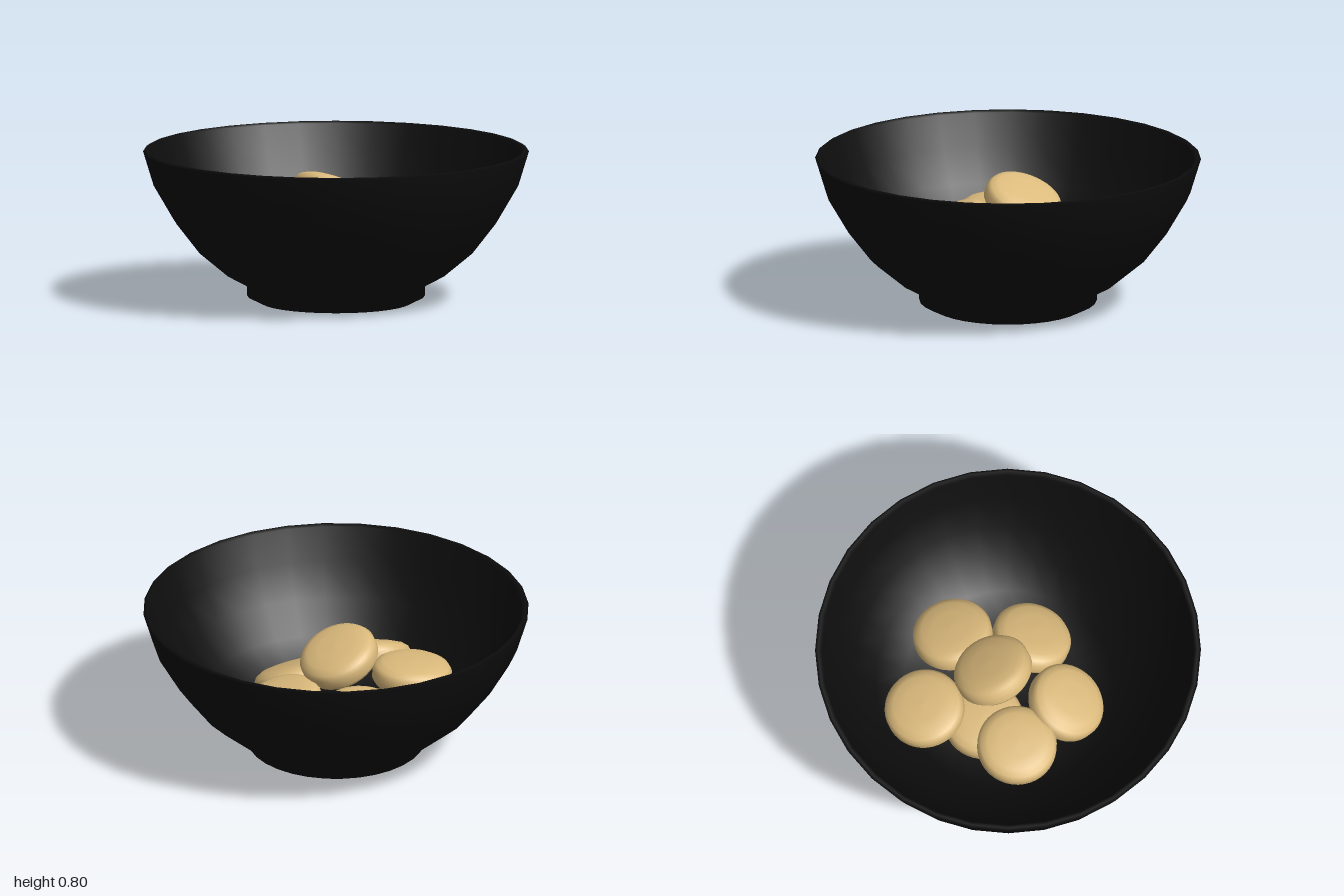
import * as THREE from 'three';

const lathe = (points, segments) =>
  new THREE.LatheGeometry(points.map(([r, y]) => new THREE.Vector2(r, y)), segments);

export function createModel() {
  const group = new THREE.Group();
  const black = new THREE.MeshStandardMaterial({ name: 'black glaze', color: 0x0d0d0d });
  const tan = new THREE.MeshStandardMaterial({ name: 'baked tan', color: 0xdbba7c });

  // Bowl: outer wall from the foot to the rim, then back down inside
  const bowl = new THREE.Mesh(lathe([
    [0, 0], [0.39, 0], [0.46, 0.035], [0.46, 0.09], [0.57, 0.15], [0.72, 0.275],
    [0.84, 0.43], [0.945, 0.61], [1, 0.79], [0.985, 0.8], [0.965, 0.79],
    [0.91, 0.62], [0.81, 0.45], [0.69, 0.3], [0.55, 0.185], [0.4, 0.12], [0, 0.1],
  ], 32), black);
  bowl.name = 'bowl';
  group.add(bowl);

  // Biscuit: thick disc with soft, slightly domed faces
  const half = [[0, 0.08], [0.09, 0.077], [0.155, 0.068], [0.19, 0.05], [0.206, 0.025]];
  const profile = [...half.map(([r, y]) => [r, -y]), ...half.slice().reverse()];
  const biscuitShape = lathe(profile, 40);

  // Pile: position and the direction each biscuit's upper face points
  const pile = [
    [[-0.065, 0.555, -0.05], [0.06, 0.9, -0.43]],
    [[-0.39, 0.4, -0.26], [-0.12, 0.97, -0.12]],
    [[0.04, 0.37, -0.37], [0.12, 0.95, -0.25]],
    [[0.265, 0.32, -0.03], [0.4, 0.9, 0.05]],
    [[0.045, 0.39, 0.33], [0.28, 0.88, 0.35]],
    [[-0.3, 0.42, 0.255], [-0.03, 1, 0.06]],
    [[-0.23, 0.26, 0], [-0.05, 1, 0]],
  ];
  const up = new THREE.Vector3(0, 1, 0);
  pile.forEach(([position, facing], i) => {
    const biscuit = new THREE.Mesh(biscuitShape, tan);
    biscuit.name = `biscuit${i + 1}`;
    biscuit.position.set(...position);
    biscuit.quaternion.setFromUnitVectors(up, new THREE.Vector3(...facing).normalize());
    group.add(biscuit);
  });
  return group;
}
